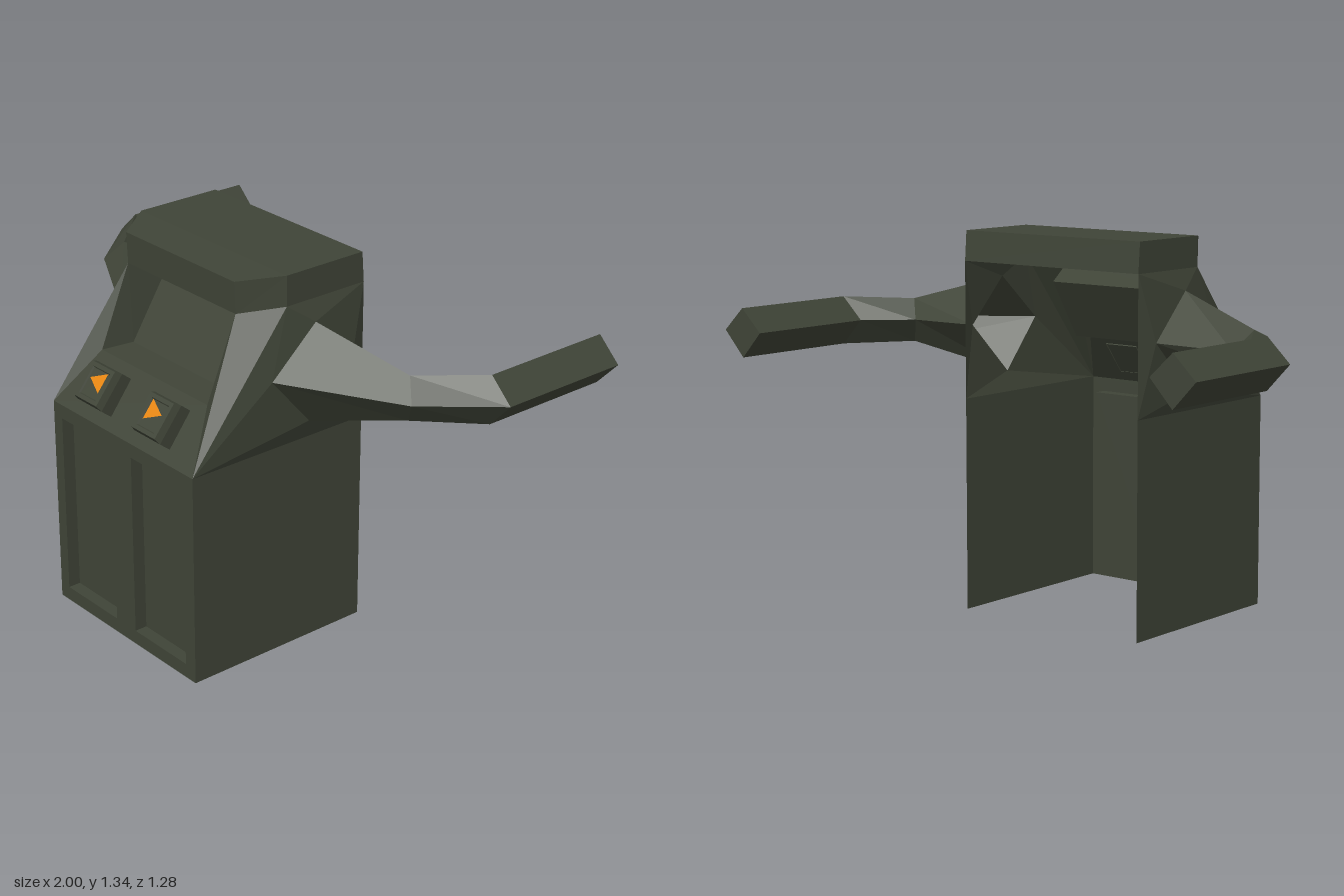
import * as THREE from 'three';

const bodyPaint = new THREE.MeshStandardMaterial({ color: 0x3f4437, side: THREE.DoubleSide });
bodyPaint.name = 'dark olive';
const arrowPaint = new THREE.MeshStandardMaterial({ color: 0xe8860c, side: THREE.DoubleSide });
arrowPaint.name = 'orange';

// Flat faces given as corner loops, each split into a fan of triangles
function faceMesh(name, faces, material = bodyPaint) {
  const pos = [];
  for (const f of faces)
    for (let i = 1; i < f.length - 1; i++) pos.push(...f[0], ...f[i], ...f[i + 1]);
  const g = new THREE.BufferGeometry();
  g.setAttribute('position', new THREE.Float32BufferAttribute(pos, 3));
  g.computeVertexNormals();
  const mesh = new THREE.Mesh(g, material);
  mesh.name = name;
  return mesh;
}

// Mirror faces across x = 0, keeping them facing outward
const mirror = (faces) => faces.map((f) => f.map(([x, y, z]) => [-x, y, z]).reverse());
const both = (faces) => [...faces, ...mirror(faces)];

// Walls joining successive rings, with an optional cap on the last
function loft(rings, cap = true) {
  const faces = [];
  for (let r = 0; r < rings.length - 1; r++) {
    const a = rings[r], b = rings[r + 1], n = a.length;
    for (let i = 0; i < n; i++) {
      const j = (i + 1) % n;
      faces.push([a[i], a[j], b[j], b[i]]);
    }
  }
  if (cap) faces.push(rings[rings.length - 1]);
  return faces;
}

// Counter-clockwise rectangle at depth z
const rect = (x0, x1, y0, y1, z) => [[x0, y0, z], [x1, y0, z], [x1, y1, z], [x0, y1, z]];
const flip = ([x, y, z]) => [-x, y, z];

const W = 0.375;
// Key corners on the left (+x) half of the cabinet
const A = [W, 0.75, 0.61];       // foot of the slope
const B = [W, 1.23, 0.225];      // top of the slope, outer
const C = [0.28, 1.21, 0.355];   // hood lower front
const D = [0.28, 0.93, 0.472];   // lower corner of the display recess
const E = [W, 1.23, -0.1];
const F = [W, 0.75, -0.1];

// Arm cross-sections, corner order: front, top, back, bottom
const armRings = [
  [[0.4, 1, 0.305], [0.4, 1.16, 0.125], [0.4, 1, -0.035], [0.4, 0.82, 0.15]],
  [[0.8, 0.995, 0.08], [0.74, 1.065, 0.033], [0.69, 0.995, -0.015], [0.74, 0.91, 0.035]],
  [[1, 0.995, -0.15], [0.915, 1.075, -0.15], [0.83, 0.995, -0.15], [0.915, 0.905, -0.15]],
  [[1, 0.995, -0.64], [0.915, 1.075, -0.64], [0.83, 0.995, -0.64], [0.915, 0.905, -0.64]],
];

function makeFrontWall() {
  const group = new THREE.Group();
  group.name = 'frontWall';
  const shape = new THREE.Shape([[-W, 0], [W, 0], [W, 0.75], [-W, 0.75]].map((p) => new THREE.Vector2(...p)));
  for (const [x0, x1] of [[-0.33, -0.052], [0.052, 0.325]]) {
    const outer = rect(x0, x1, 0.05, 0.7, 0.61);
    shape.holes.push(new THREE.Path(outer.map(([x, y]) => new THREE.Vector2(x, y)).reverse()));
    const inner = rect(x0, x1, 0.05, 0.7, 0.565);
    // walls face into the recess, the panel faces forward
    group.add(faceMesh('recessedDoor', [...loft([inner, outer], false).map((f) => f.slice().reverse()), inner]));
  }
  const sheet = new THREE.Mesh(new THREE.ShapeGeometry(shape), bodyPaint);
  sheet.position.z = 0.61;
  sheet.name = 'frontSheet';
  group.add(sheet);
  return group;
}

// Sides are one sheet, bowed out to meet the hollow arm root
function makeSideWalls() {
  const [f, t, b, l] = armRings[0];
  return faceMesh('sideWalls', both([
    [[W, 0, 0.61], [W, 0, -0.1], F, A],
    [A, f, B], [B, f, t], [B, t, E], [E, t, b],
    [E, b, F], [F, b, l], [F, l, A], [A, l, f],
  ]));
}

function makeSlope() {
  return faceMesh('slopedFront', [
    [flip(A), A, D, flip(D)],
    ...both([[A, B, C], [A, C, D]]),
  ]);
}

function makeDisplayRecess() {
  const S = [0.255, 0.935, 0.36], T = [0.255, 1.14, 0.23];
  return faceMesh('displayRecess', [
    [flip(S), S, T, flip(T)],
    [flip(D), D, S, flip(S)],
    [flip(T), T, C, flip(C)],
    ...both([[D, C, T, S]]),
  ]);
}

function makeHood() {
  const P = [0.28, 1.32, 0.36], Q = [W, 1.335, 0.225], R = [W, 1.335, -0.092];
  return faceMesh('hood', [
    [flip(C), C, P, flip(P)],
    [flip(P), P, Q, flip(Q)],
    [flip(Q), Q, R, flip(R)],
    [E, flip(E), flip(R), R],
    ...both([[C, B, Q, P], [B, E, R, Q]]),
  ]);
}

// Push button on the slope; side is the direction its arrow points
function makeButton(side) {
  const group = new THREE.Group();
  group.name = side > 0 ? 'leftButton' : 'rightButton';
  const ring = (x, y, z) => rect(-x, x, -y, y, z);
  group.add(faceMesh('buttonBlock', loft([
    ring(0.068, 0.07, 0), ring(0.068, 0.07, 0.05), ring(0.06, 0.064, 0.075),
    ring(0.046, 0.05, 0.075), ring(0.043, 0.047, 0.07),
  ])));
  const arrow = [[0.035 * side, 0.012, 0.073], [-0.035 * side, 0.048, 0.073], [-0.035 * side, -0.024, 0.073]];
  group.add(faceMesh('arrow', [side > 0 ? arrow : arrow.reverse()], arrowPaint));
  group.position.set(0.156 * side, 0.84, 0.537);
  group.rotation.x = -0.676;
  return group;
}

export function createModel() {
  const model = new THREE.Group();
  model.name = 'controlCabinet';
  model.add(makeFrontWall(), makeSideWalls(), makeSlope(), makeDisplayRecess(), makeHood());

  // Arms sweeping out and back
  const arm = loft(armRings).map((f) => f.slice().reverse());
  // outward orientation for the +x side is the loft order reversed
  model.add(faceMesh('leftArm', arm), faceMesh('rightArm', mirror(arm)));

  for (const side of [1, -1]) model.add(makeButton(side));
  return model;
}
